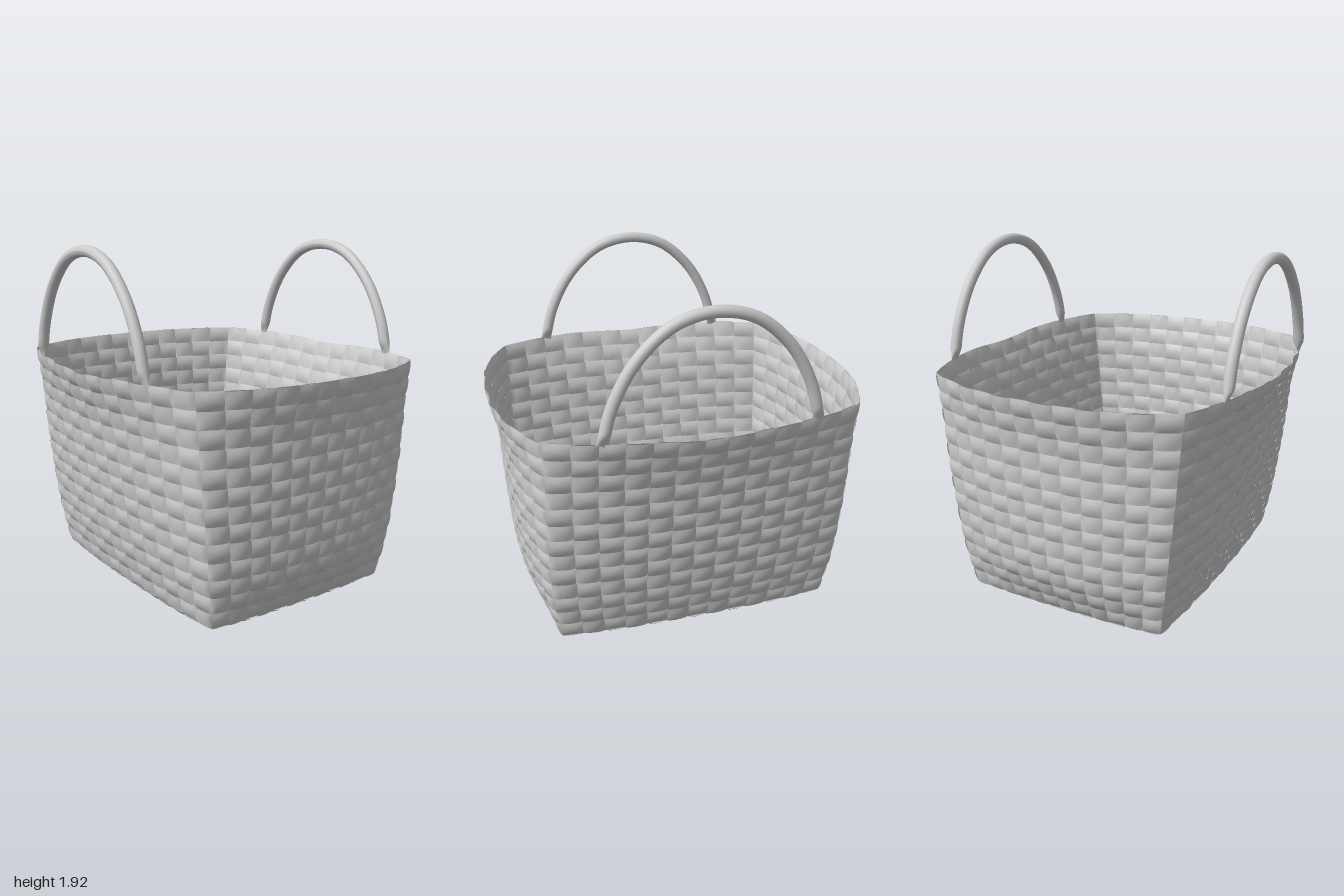
import * as THREE from 'three';
import { mergeGeometries } from 'three/addons/utils/BufferGeometryUtils.js';

const COLS_X = 13, COLS_Z = 12, ROWS = 13;      // woven cells per face
const HALF = COLS_X + COLS_Z, AROUND = 2 * HALF; // cells round the basket
const AMP = 0.012;                               // depth of the weave
const V = (x, y, z) => new THREE.Vector3(x, y, z);
const clamp = THREE.MathUtils.clamp;
const bow = (u) => 1 - Math.abs(u) ** 2.5;

// wall profiles from base to rim: middle of the faces, and the corners
const heights = [0.09, 0.33, 0.58, 0.82, 1.07, 1.31];
const profile = (xs, zs) => new THREE.CatmullRomCurve3(heights.map((y, i) => V(xs[i], y, zs[i])));
const middle = profile([0.77, 0.875, 0.905, 0.92, 0.935, 0.99], [0.6, 0.665, 0.71, 0.745, 0.785, 0.86]);
const corner = profile([0.75, 0.785, 0.8, 0.805, 0.805, 0.81], [0.57, 0.61, 0.64, 0.665, 0.685, 0.71]);

// wall surface: s counts cells around, v counts rows up
function wall(s, v) {
  s = (s + AROUND) % AROUND;
  const flip = s >= HALF ? -1 : 1;
  s %= HALF;
  const t = clamp(v / ROWS, 0, 1);
  const m = middle.getPoint(t), c = corner.getPoint(t);
  if (s < COLS_X) {
    const u = (2 * s) / COLS_X - 1, x = c.x * u;
    const dip = 0.02 * t ** 4 * Math.exp(-((x / 0.25) ** 2));
    return V(flip * x, m.y - dip, flip * (c.z + (m.z - c.z) * bow(u)));
  }
  const u = 1 - (2 * (s - COLS_X)) / COLS_Z;
  return V(flip * (c.x + (m.x - c.x) * bow(u)), m.y, flip * c.z * u);
}

// slightly dished floor that meets the foot of the walls
function floor(a, b) {
  const u = clamp((2 * a) / COLS_X - 1, -1, 1), w = clamp((2 * b) / COLS_Z - 1, -1, 1);
  const y = 0.015 + 0.075 * (1 - (1 - u ** 6) * (1 - w ** 6));
  return V(u * (0.75 + 0.02 * bow(w)), y, w * (0.57 + 0.03 * bow(u)));
}

// one flat cane that weaves over and under along a surface
function cane(surface, lengthwise, index, length) {
  const at = lengthwise ? (p, q) => surface(p, q) : (p, q) => surface(q, p);
  const sign = (lengthwise ? 1 : -1) * (index % 2 ? -1 : 1);
  const steps = length * 4, across = 4, e = 0.3;
  const pos = [], idx = [];
  for (let i = 0; i <= steps; i++) {
    const p = i / 4, wave = Math.sin(Math.PI * p);
    const lift = Math.abs(wave) < 1e-6 ? 0 : Math.sign(wave) * Math.sqrt(Math.abs(wave));
    for (let j = 0; j <= across; j++) {
      const k = (2 * j) / across - 1, q = index + 0.5 + 0.485 * k;
      const n = at(p + e, q).sub(at(p - e, q)).cross(at(p, q + e).sub(at(p, q - e))).normalize();
      if (!lengthwise) n.negate();
      const pt = at(p, q).addScaledVector(n, AMP * sign * lift * (1 - 0.45 * k * k));
      pos.push(pt.x, pt.y, pt.z);
      if (i < steps && j < across) {
        const a = i * (across + 1) + j, b = a + across + 1;
        if (lengthwise) idx.push(a, b, b + 1, a, b + 1, a + 1);
        else idx.push(a, b + 1, b, a, a + 1, b + 1);
      }
    }
  }
  const g = new THREE.BufferGeometry();
  g.setAttribute('position', new THREE.Float32BufferAttribute(pos, 3));
  g.setIndex(idx);
  g.computeVertexNormals();
  return g;
}

export function createModel() {
  const group = new THREE.Group();
  group.name = 'basket';
  const caneMat = new THREE.MeshStandardMaterial({ color: 0xcccccc, side: THREE.DoubleSide });
  const add = (name, geometry) => {
    const mesh = new THREE.Mesh(geometry, caneMat);
    mesh.name = name;
    group.add(mesh);
    return mesh;
  };
  const weave = (name, surface, lengthwise, count, length) =>
    add(name, mergeGeometries(Array.from({ length: count }, (_, i) => cane(surface, lengthwise, i, length))));

  // woven walls and floor
  weave('wallBands', wall, true, ROWS, AROUND);
  weave('wallUprights', wall, false, AROUND, ROWS);
  weave('floorLengthwise', floor, true, COLS_Z, COLS_X);
  weave('floorCrosswise', floor, false, COLS_X, COLS_Z);

  // arched handles, pinched thin where they enter the rim
  const side = [[0.547, 1.3], [0.49, 1.5], [0.375, 1.7], [0.2, 1.85]];
  const arch = new THREE.CatmullRomCurve3([
    ...side.map(([x, y]) => V(-x, y, 0)), V(0, 1.897, 0),
    ...side.slice().reverse().map(([x, y]) => V(x, y, 0)),
  ]);
  const handle = new THREE.TubeGeometry(arch, 96, 0.03, 16);
  const p = handle.attributes.position;
  for (let i = 0; i < p.count; i++) p.setZ(i, p.getZ(i) * clamp((p.getY(i) - 1.3) / 0.06, 0.15, 1));
  handle.computeVertexNormals();
  add('frontHandle', handle).position.z = 0.803;
  add('backHandle', handle).position.z = -0.803;
  return group;
}
